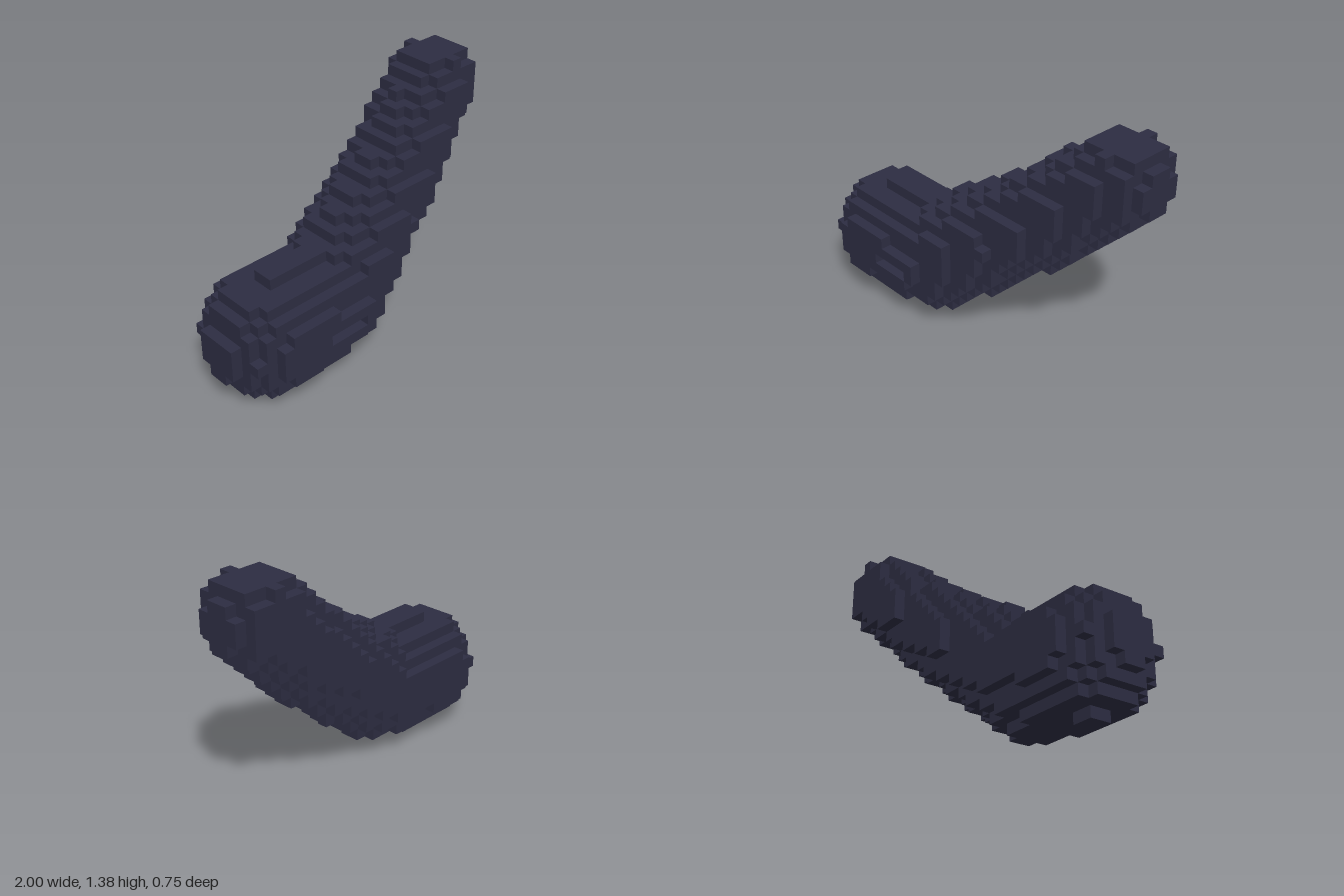
import * as THREE from 'three';

const CELL = 1 / 16;            // edge of one block
const SIZE = [32, 22, 12];      // block counts in x, y, z
const ORIGIN = [-1, 0, -0.375];

// Centre line of the bent limb: position and radius at each joint
const JOINTS = [
  { p: new THREE.Vector3(-0.68, 0.342, 0.0625), r: 0.316 },
  { p: new THREE.Vector3(-0.28, 0.36, 0.06), r: 0.3 },
  { p: new THREE.Vector3(0.31, 0.78, -0.065), r: 0.25 },
  { p: new THREE.Vector3(0.78, 1.1875, -0.1875), r: 0.222 },
];

// True where a point lies within a tapered, round-ended segment
function insideLimb(q) {
  for (let i = 0; i + 1 < JOINTS.length; i++) {
    const a = JOINTS[i], b = JOINTS[i + 1];
    const ab = b.p.clone().sub(a.p);
    const t = THREE.MathUtils.clamp(q.clone().sub(a.p).dot(ab) / ab.lengthSq(), 0, 1);
    const r = THREE.MathUtils.lerp(a.r, b.r, t);
    if (a.p.clone().addScaledVector(ab, t).distanceTo(q) <= r) return true;
  }
  return false;
}

// Shallow groove in the front of the thick end
function inGroove(q) {
  return q.z > 0.3125 && q.x > -0.5 && q.x < -0.25 && q.y > 0.3125 && q.y < 0.375;
}

function filled(c) {
  if (c.some((n, d) => n < 0 || n >= SIZE[d])) return false;
  const q = new THREE.Vector3(...c.map((n, d) => ORIGIN[d] + (n + 0.5) * CELL));
  return insideLimb(q) && !inGroove(q);
}

// Surface of the block grid: one square for each exposed block side
function blockGeometry() {
  const positions = [], normals = [], index = [];
  const square = [[0, 0], [1, 0], [1, 1], [0, 1]];
  for (let x = 0; x < SIZE[0]; x++)
    for (let y = 0; y < SIZE[1]; y++)
      for (let z = 0; z < SIZE[2]; z++) {
        const c = [x, y, z];
        if (!filled(c)) continue;
        for (let d = 0; d < 3; d++)
          for (const s of [-1, 1]) {
            const next = [...c];
            next[d] += s;
            if (filled(next)) continue;
            const base = positions.length / 3;
            const normal = [0, 0, 0];
            normal[d] = s;
            for (const [u, v] of square) {
              const k = [...c];
              k[d] += s > 0 ? 1 : 0;
              k[(d + 1) % 3] += u;
              k[(d + 2) % 3] += v;
              positions.push(...k.map((n, a) => ORIGIN[a] + n * CELL));
              normals.push(...normal);
            }
            const order = s > 0 ? [0, 1, 2, 0, 2, 3] : [0, 2, 1, 0, 3, 2];
            index.push(...order.map((o) => base + o));
          }
      }
  const geometry = new THREE.BufferGeometry();
  geometry.setAttribute('position', new THREE.Float32BufferAttribute(positions, 3));
  geometry.setAttribute('normal', new THREE.Float32BufferAttribute(normals, 3));
  geometry.setIndex(index);
  return geometry;
}

export function createModel() {
  const group = new THREE.Group();
  group.name = 'blockLimb';
  const darkNavy = new THREE.MeshStandardMaterial({ color: 0x2d2d42 });
  darkNavy.name = 'darkNavy';
  const limb = new THREE.Mesh(blockGeometry(), darkNavy);
  limb.name = 'bentLimb';
  group.add(limb);
  return group;
}
